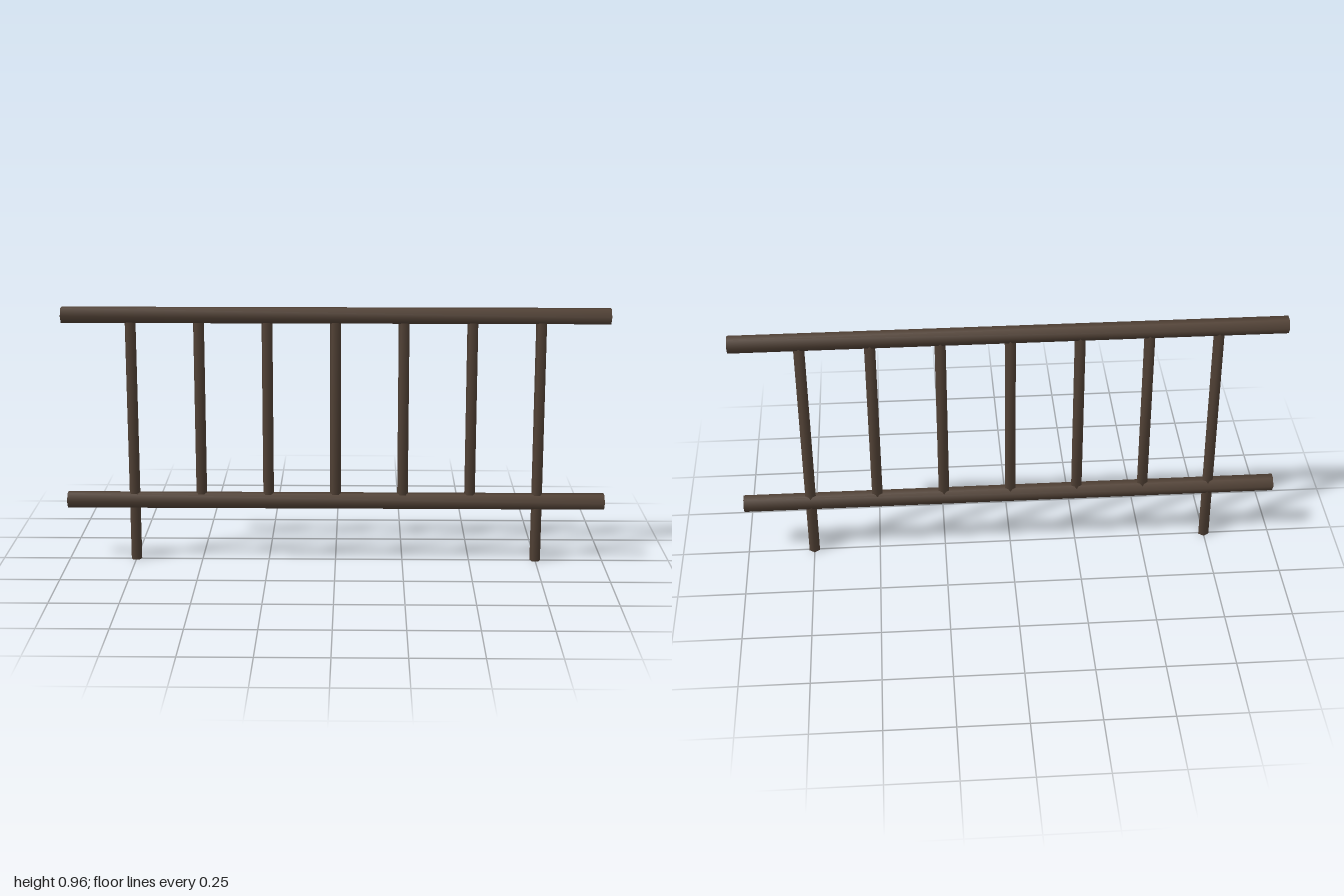
import * as THREE from 'three';
import { mergeVertices } from 'three/addons/utils/BufferGeometryUtils.js';

// Low-sided pole with normals shared across sides and caps
function pole(radius, length, sides) {
  let g = new THREE.CylinderGeometry(radius, radius, length, sides, 1);
  g.deleteAttribute('uv');
  g.deleteAttribute('normal');
  g = mergeVertices(g, 1e-5);
  g.computeVertexNormals();
  return g;
}

export function createModel() {
  const group = new THREE.Group();
  group.name = 'railing';
  const darkWood = new THREE.MeshStandardMaterial({ color: 0x524236 });
  darkWood.name = 'darkWood';

  const lowerY = 0.231, upperY = 0.932;

  // Horizontal hexagonal rails
  for (const [name, y] of [['lowerRail', lowerY], ['upperRail', upperY]]) {
    const rail = new THREE.Mesh(pole(0.0315, 2, 6).rotateZ(Math.PI / 2), darkWood);
    rail.name = name;
    rail.position.y = y;
    group.add(rail);
  }

  // Upright posts: the outer two reach the ground, the others stop in the lower rail
  for (let i = -3; i <= 3; i++) {
    const outer = Math.abs(i) === 3;
    const bottom = outer ? 0 : lowerY;
    const post = new THREE.Mesh(pole(0.0208, upperY - bottom, 5).rotateY(Math.PI), darkWood);
    post.name = outer ? 'supportPost' : 'baluster';
    post.position.set(i * 0.25, (upperY + bottom) / 2, 0);
    group.add(post);
  }
  return group;
}
